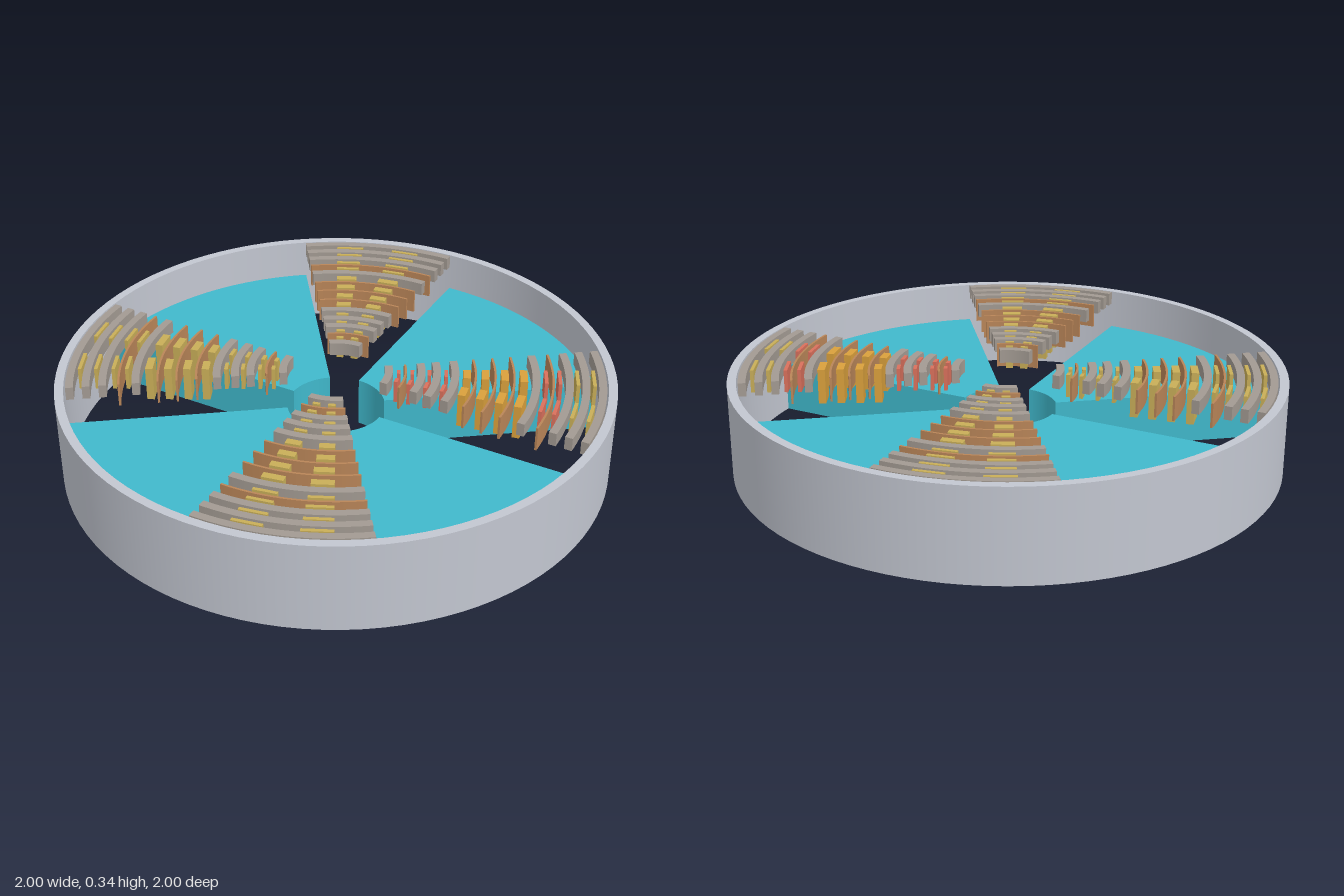
import * as THREE from 'three';

const mat = (name, color) => {
  const m = new THREE.MeshStandardMaterial({ color });
  m.name = name;
  return m;
};
const rad = THREE.MathUtils.degToRad;
const TOP = 0.34;

// Solid arc sector between two radii; angles in degrees, counter-clockwise from +x seen from above
function sector(r0, r1, a0, a1, y0, y1, segments) {
  const s = new THREE.Shape();
  s.absarc(0, 0, r1, rad(a0), rad(a1), false);
  s.absarc(0, 0, r0, rad(a1), rad(a0), true);
  s.closePath();
  const g = new THREE.ExtrudeGeometry(s, { depth: y1 - y0, bevelEnabled: false, curveSegments: segments });
  return g.rotateX(-Math.PI / 2).translate(0, y0, 0);
}

// Bars of each fan: [radius, isThin]
const BARS = [
  [0.19, 0], [0.25, 1], [0.307, 0], [0.362, 0], [0.427, 0], [0.5, 1], [0.57, 1],
  [0.637, 1], [0.715, 0], [0.775, 1], [0.832, 0], [0.89, 0], [0.948, 0],
];

export function createModel() {
  const model = new THREE.Group();
  const shell = mat('shell grey', 0xc2c6d0);
  const teal = mat('teal', 0x40b8cb);
  const stone = mat('bar grey', 0xa29a92);
  const copper = mat('copper', 0xb98558);
  const gold = mat('gold', 0xc8ae58);
  const orange = mat('orange', 0xd9a03c);
  const red = mat('red', 0xd9705c);

  const add = (parent, name, geo, material) => {
    const m = new THREE.Mesh(geo, material);
    m.name = name;
    parent.add(m);
    return m;
  };

  // Outer ring: smooth walls with flat rims
  const ring = new THREE.Group();
  ring.name = 'outerRing';
  const walls = [[1, 0, 1, TOP], [1, TOP, 0.968, TOP], [0.968, TOP, 0.968, 0], [0.968, 0, 1, 0]];
  for (const [r0, y0, r1, y1] of walls) {
    const profile = [new THREE.Vector2(r0, y0), new THREE.Vector2(r1, y1)];
    add(ring, 'ringFace', new THREE.LatheGeometry(profile, 96), shell);
  }
  model.add(ring);

  for (let k = 0; k < 4; k++) {
    const start = k * 90;

    // Low solid wedge
    add(model, 'wedge', sector(0.177, 0.967, start + 36, start + 90, 0, 0.19, 24), teal);

    // Fan of curved bars hung level with the rim
    const fan = new THREE.Group();
    fan.name = 'barFan';
    model.add(fan);
    for (const [r, thin] of BARS) {
      const half = thin ? 0.004 : 0.014;
      const h = thin ? 0.09 : 0.05;
      add(fan, thin ? 'thinBar' : 'thickBar',
        sector(r - half, r + half, start, start + 36, TOP - h, TOP, 16), thin ? copper : stone);
    }

    // Two hanging blocks in every gap between bars
    for (let i = 0; i < BARS.length - 1; i++) {
      const [ra, ta] = BARS[i];
      const [rb, tb] = BARS[i + 1];
      const r = (ra + (ta ? 0.004 : 0.014) + rb - (tb ? 0.004 : 0.014)) / 2;
      const middle = i >= 4 && i <= 7;
      let material = gold;
      if (k === 0) material = middle ? orange : i < 10 ? red : gold;
      for (const a of [11, 25]) {
        const h = middle ? 0.13 : 0.085;
        const block = add(fan, 'hangingBlock',
          new THREE.BoxGeometry(middle ? 0.027 : 0.013, h, r * 0.115), material);
        const t = rad(start + a);
        block.position.set(r * Math.cos(t), TOP - 0.002 - h / 2, -r * Math.sin(t));
        block.rotation.y = t;
      }
    }
  }
  return model;
}
